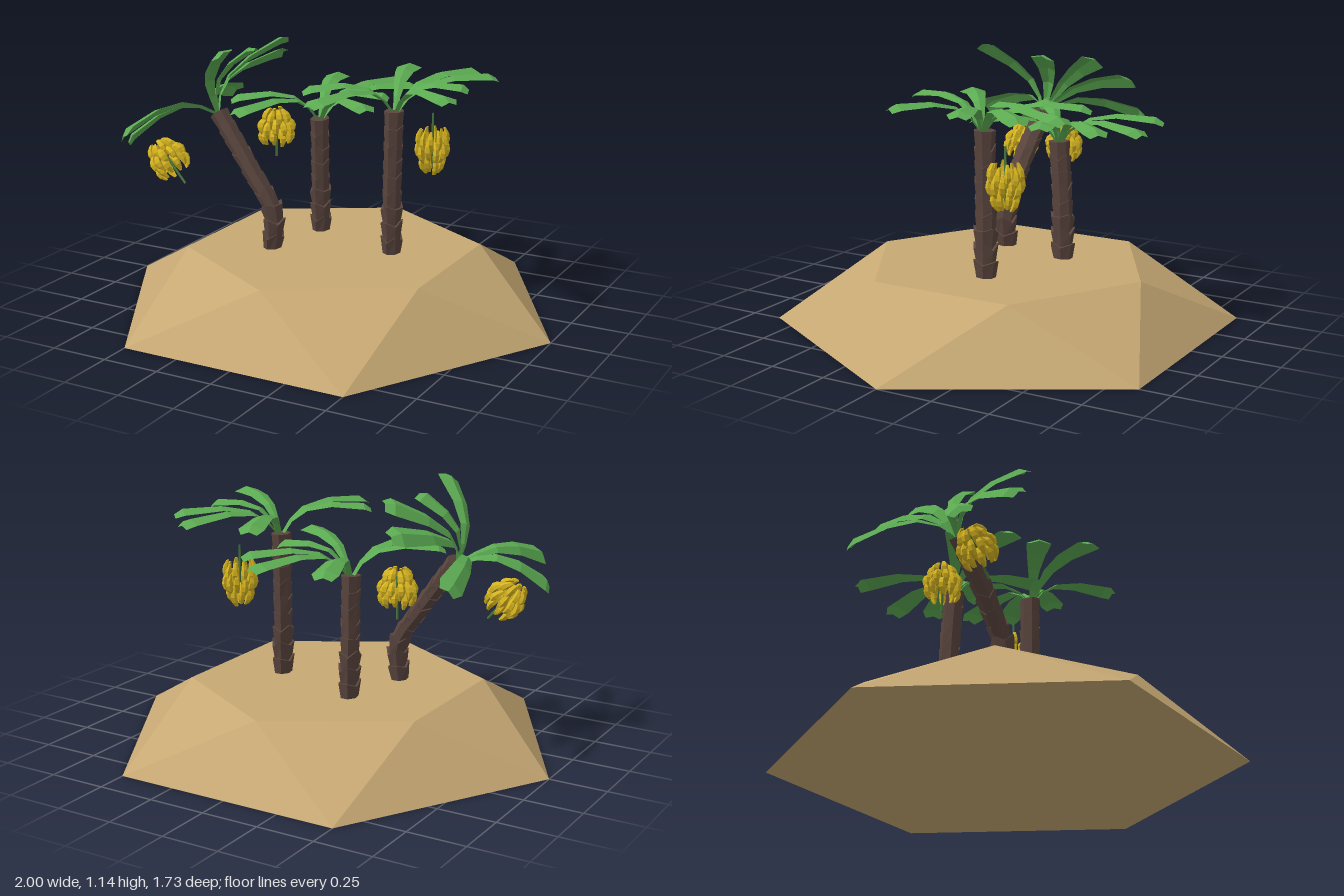
import * as THREE from 'three';
import { ConvexGeometry } from 'three/addons/geometries/ConvexGeometry.js';
import { mergeGeometries } from 'three/addons/utils/BufferGeometryUtils.js';

const material = (name, color, extra = {}) => {
  const m = new THREE.MeshStandardMaterial({ color, ...extra });
  m.name = name;
  return m;
};

// Faceted normals for the low-poly look
function faceted(geometry) {
  const g = geometry.index ? geometry.toNonIndexed() : geometry;
  g.deleteAttribute('uv');
  g.computeVertexNormals();
  return g;
}

function mesh(name, geometry, mat) {
  const m = new THREE.Mesh(faceted(geometry), mat);
  m.name = name;
  return m;
}

// Sand mound: a hexagon below, a smaller hexagon turned by 30 degrees above
function islandGeometry() {
  const points = [];
  for (let i = 0; i < 6; i++) {
    const a = (i * Math.PI) / 3, b = a + Math.PI / 6;
    points.push(new THREE.Vector3(Math.cos(a), 0, Math.sin(a)));
    points.push(new THREE.Vector3(0.633 * Math.cos(b), 0.26, 0.633 * Math.sin(b)));
  }
  return new ConvexGeometry(points);
}

// Trunk: overlapping flared bark rings with ragged upper rims along a path
function trunkGeometry(points, rings) {
  const curve = new THREE.CatmullRomCurve3(points.map((p) => new THREE.Vector3(...p)));
  const step = curve.getLength() / rings;
  const up = new THREE.Vector3(0, 1, 0);
  const parts = [];
  for (let i = 0; i < rings; i++) {
    const t = (i + 0.5) / rings;
    const flare = i < 3 ? 0.006 : 0;
    const ring = new THREE.CylinderGeometry(0.041 + flare, 0.035, step * 1.2, 7);
    const p = ring.attributes.position;
    for (let k = 0; k < p.count; k++) {
      const x = p.getX(k), y = p.getY(k), z = p.getZ(k);
      if (y > 0 && Math.hypot(x, z) > 0.01 && i < rings - 1) {
        p.setY(k, y + 0.016 * Math.sin(3 * Math.atan2(z, x) + i * 2));
      }
    }
    ring.scale(1, 1, 1.22);
    ring.applyQuaternion(new THREE.Quaternion().setFromUnitVectors(up, curve.getTangentAt(t)));
    ring.translate(...curve.getPointAt(t).toArray());
    parts.push(ring);
  }
  return mergeGeometries(parts);
}

// Leaf cross-sections: [reach, height, half width], reach as a share of the length
const SECTIONS = [
  [0.0, -0.01, 0.01], [0.12, 0.06, 0.014], [0.29, 0.112, 0.026],
  [0.56, 0.135, 0.04], [0.92, 0.128, 0.055], [1.0, 0.105, 0.034],
];

// Leaf: a strip folded along its midrib, widening towards a blunt tip
function leafGeometry(length, lift) {
  const positions = [], index = [];
  SECTIONS.forEach(([r, y, w], i) => {
    const h = y + lift * r * r;
    positions.push(r * length, h - w * 0.35, -w, r * length, h, 0, r * length, h - w * 0.35, w);
    if (i === 0) return;
    for (let k = 0; k < 2; k++) {
      const a = (i - 1) * 3 + k, b = a + 3;
      index.push(a, a + 1, b, b, a + 1, b + 1);
    }
  });
  const g = new THREE.BufferGeometry();
  g.setAttribute('position', new THREE.Float32BufferAttribute(positions, 3));
  g.setIndex(index);
  return g;
}

// Crown leaves: [heading in degrees from +x towards +z, length, lift of the tip]
const LEAVES = [
  [-107, 0.45, 0], [-70, 0.5, 0], [-48, 0.46, 0.01], [-13, 0.31, 0.01],
  [33, 0.41, 0.02], [112, 0.46, -0.01], [142, 0.39, 0],
];

function crown(mat) {
  const group = new THREE.Group();
  group.name = 'crown';
  for (const [heading, length, lift] of LEAVES) {
    const leaf = mesh('leaf', leafGeometry(length, lift), mat);
    leaf.rotation.y = -THREE.MathUtils.degToRad(heading);
    group.add(leaf);
  }
  return group;
}

// One banana: a tapered five-sided rod bowed outwards along +x
function bananaGeometry() {
  const g = new THREE.CylinderGeometry(0.006, 0.008, 0.095, 5, 4);
  const p = g.attributes.position;
  for (let i = 0; i < p.count; i++) {
    const y = p.getY(i), s = 1 - Math.pow(y / 0.0475, 2);
    const grow = 1 + 1.1 * s;
    p.setXYZ(i, p.getX(i) * grow + 0.016 * s, y, p.getZ(i) * grow);
  }
  return g;
}

// Bunch: three tiers of bananas around a stem that sticks out at the top
function bunch(fruitMat, stemMat) {
  const group = new THREE.Group();
  group.name = 'bananaBunch';
  const fruits = [];
  [[-0.045, 0.033, 8], [0.005, 0.05, 11], [0.046, 0.047, 10]].forEach(([y, r, n], tier) => {
    for (let i = 0; i < n; i++) {
      const g = bananaGeometry();
      g.rotateZ(-0.12);
      g.translate(r, y + 0.007 * Math.sin(i * 2.4 + tier), 0);
      g.rotateY(((i + tier * 0.5) / n) * Math.PI * 2);
      fruits.push(g);
    }
  });
  group.add(mesh('bananas', mergeGeometries(fruits), fruitMat));
  const stem = mesh('bunchStem', new THREE.CylinderGeometry(0.005, 0.006, 0.22, 5), stemMat);
  stem.position.y = 0.055;
  group.add(stem);
  return group;
}

export function createModel() {
  const sand = material('sand', 0xc6a873);
  const bark = material('bark', 0x5a453e);
  const leafGreen = material('leafGreen', 0x5cab52, { side: THREE.DoubleSide });
  const stemGreen = material('stemGreen', 0x47783c);
  const bananaYellow = material('bananaYellow', 0xd6b420);

  const model = new THREE.Group();
  model.name = 'bananaIsland';
  model.add(mesh('island', islandGeometry(), sand));

  const trees = [
    { // leaning tree
      path: [[-0.23, 0.25, 0.14], [-0.225, 0.42, 0.14], [-0.34, 0.6, 0.135], [-0.5, 0.815, 0.115]],
      rings: 10, crown: [-0.52, 0.82, 0.11], tilt: 0.7,
      bunch: [-0.655, 0.645, 0.3], turn: Math.PI + 0.7, size: [1.1, 0.83, 1.05],
    },
    { // short tree
      path: [[-0.165, 0.25, -0.18], [-0.165, 0.5, -0.175], [-0.16, 0.77, -0.16]],
      rings: 8, crown: [-0.16, 0.77, -0.16], tilt: 0,
      bunch: [-0.34, 0.735, -0.09], turn: Math.PI, size: [1.1, 0.83, 1.05],
    },
    { // tall tree
      path: [[0.255, 0.25, -0.04], [0.255, 0.55, -0.04], [0.26, 0.875, -0.04]],
      rings: 9, crown: [0.265, 0.875, -0.035], tilt: 0,
      bunch: [0.365, 0.685, -0.2], turn: 0, size: [0.95, 1, 1.05],
    },
  ];

  for (const t of trees) {
    const tree = new THREE.Group();
    tree.name = 'bananaTree';
    tree.add(mesh('trunk', trunkGeometry(t.path, t.rings), bark));
    const leaves = crown(leafGreen);
    leaves.position.set(...t.crown);
    leaves.rotation.z = t.tilt;
    const fruit = bunch(bananaYellow, stemGreen);
    fruit.position.set(...t.bunch);
    fruit.rotation.z = t.turn;
    fruit.scale.set(...t.size);
    tree.add(leaves, fruit);
    model.add(tree);
  }
  return model;
}
